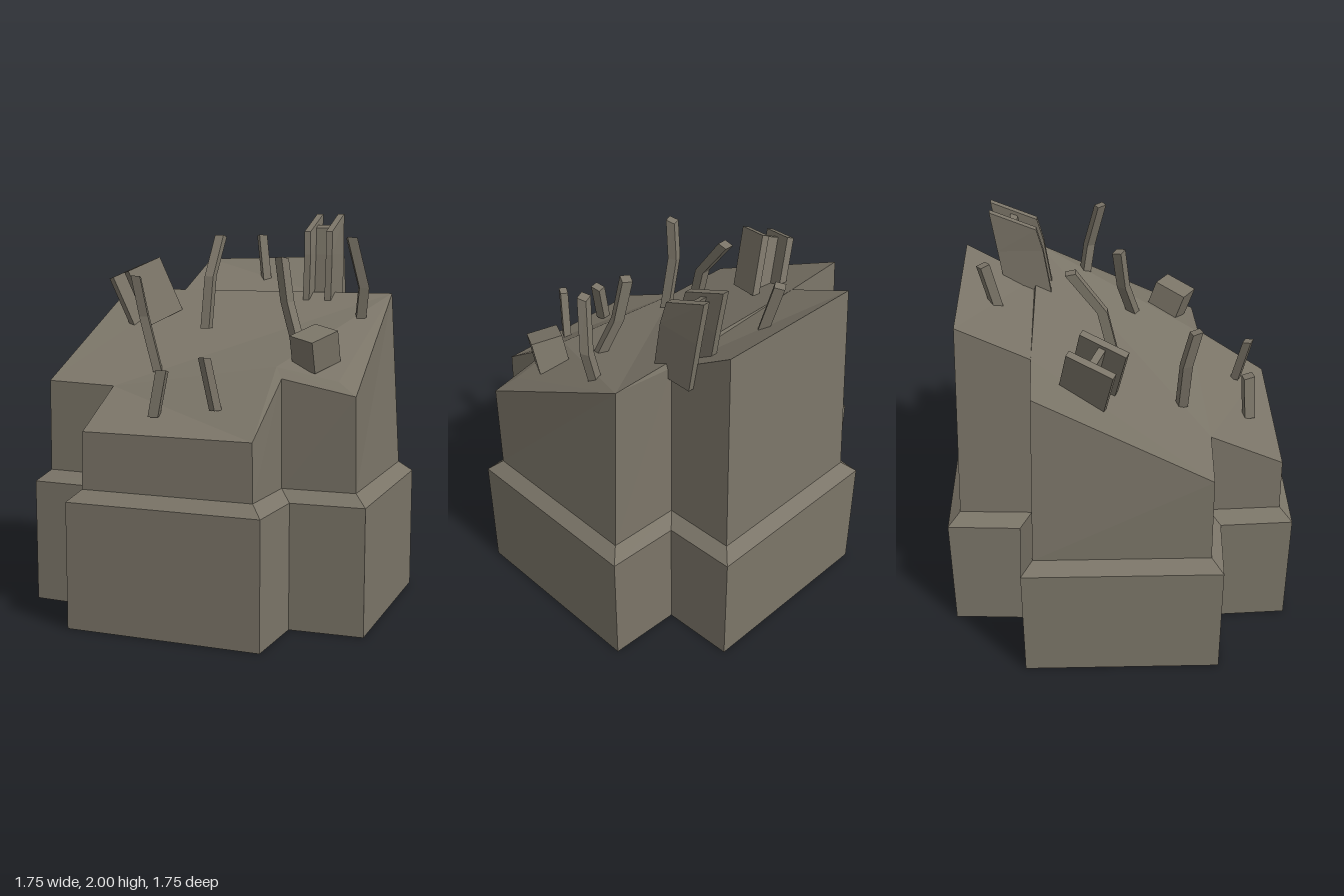
import * as THREE from 'three';

const stone = new THREE.MeshStandardMaterial({ color: 0x7b7568 });
stone.name = 'weathered stone';

// Faceted mesh from a flat list of corner points, three per triangle
function facets(name, corners) {
  const geometry = new THREE.BufferGeometry().setFromPoints(corners);
  geometry.computeVertexNormals();
  const mesh = new THREE.Mesh(geometry, stone);
  mesh.name = name;
  return mesh;
}

// Side walls between successive rings
function walls(rings) {
  const out = [];
  for (let r = 0; r < rings.length - 1; r++) {
    const lo = rings[r], hi = rings[r + 1], n = lo.length;
    for (let i = 0; i < n; i++) {
      const j = (i + 1) % n;
      out.push(lo[i], lo[j], hi[j], lo[i], hi[j], hi[i]);
    }
  }
  return out;
}

// Flat fill of one ring, facing up or down
function cap(ring, up) {
  const flat = ring.map((p) => new THREE.Vector2(p.x, -p.z));
  return THREE.ShapeUtils.triangulateShape(flat, [])
    .flatMap(([a, b, c]) => (up ? [ring[a], ring[b], ring[c]] : [ring[a], ring[c], ring[b]]));
}

const V = (x, y, z) => new THREE.Vector3(x, y, z);

// Plus-shaped ring: arm reach, arm half width, inner corner
function plusRing(y, reach, half, inner) {
  const ring = [];
  for (let k = 0; k < 4; k++) {
    for (const [x, z] of [[-half, reach], [half, reach], [inner, inner]]) {
      ring.push(V(x, y, z).applyAxisAngle(V(0, 1, 0), k * Math.PI / 2));
    }
  }
  return ring;
}

// Bar bent along a path that runs from bottom to top; slope slants the top cut
function bar(name, path, w, d, yaw = 0, slope = 0) {
  const rings = path.map(([x, y, z], i) =>
    [[-1, 1], [1, 1], [1, -1], [-1, -1]].map(([sx, sz]) => {
      const o = V(sx * w / 2, 0, sz * d / 2).applyAxisAngle(V(0, 1, 0), yaw);
      return V(x + o.x, y + (i === path.length - 1 ? slope * o.z : 0), z + o.z);
    }));
  return facets(name, [...cap(rings[0], false), ...walls(rings), ...cap(rings.at(-1), true)]);
}

// Two flanges joined by a web
function girder(name, path, gap, flangeWidth, thick, slope = 0) {
  const group = new THREE.Group();
  group.name = name;
  const shift = (dx) => path.map(([x, y, z]) => [x + dx, y, z]);
  for (const s of [-1, 1]) {
    group.add(bar('flange', shift(s * gap / 2), thick, flangeWidth, 0, slope));
  }
  group.add(bar('web', path.map(([x, y, z], i) =>
    [x, i === path.length - 1 ? y - 0.02 : y, z]), gap, thick, 0, slope));
  return group;
}

export function createModel() {
  const model = new THREE.Group();
  model.name = 'brokenPillar';

  // Broken rim, sloping up towards the back
  const rim = [
    V(-0.43, 0.96, 0.81), V(0.43, 0.96, 0.81), V(0.445, 1.21, 0.445),
    V(0.81, 1.14, 0.44), V(0.765, 1.58, -0.42), V(0.43, 1.55, -0.43),
    V(0.405, 1.765, -0.77), V(-0.405, 1.745, -0.77), V(-0.42, 1.58, -0.42),
    V(-0.765, 1.585, -0.41), V(-0.815, 1.145, 0.43), V(-0.445, 1.135, 0.445),
  ];
  const base = plusRing(0, 0.877, 0.493, 0.51);
  const baseTop = plusRing(0.625, 0.877, 0.493, 0.51);
  const shoulder = plusRing(0.68, 0.815, 0.435, 0.45);
  model.add(facets('plinth', [...cap(base, false), ...walls([base, baseTop])]));
  model.add(facets('shoulder', walls([baseTop, shoulder])));
  model.add(facets('shaft', walls([shoulder, rim])));

  // Sloping fracture with one raised, chipped corner
  const peak = V(0.4, 1.26, 0.39), ridge = V(0.71, 1.2, 0.385);
  const [, armCorner, notch, sideCorner] = rim;
  const top = [...rim.slice(0, 2), peak, ridge, ...rim.slice(3)];
  model.add(facets('fracture', [
    ...cap(top, true),
    armCorner, notch, peak, peak, notch, sideCorner, peak, sideCorner, ridge,
  ]));

  // Bent reinforcing rods
  const rods = [
    [[[-0.26, 1.2, 0.31], [-0.33, 1.48, 0.32], [-0.355, 1.68, 0.36]], 0.045, 0.05, 0.3],
    [[[-0.13, 1.4, -0.02], [-0.13, 1.67, -0.08], [-0.13, 1.88, -0.23]], 0.048, 0.05, 0],
    [[[0, 1.63, -0.6], [-0.045, 1.88, -0.65]], 0.045, 0.05, 0.6],
    [[[0.18, 1.07, 0.63], [0.145, 1.32, 0.68]], 0.04, 0.045, -0.5],
    [[[-0.12, 1.03, 0.67], [-0.08, 1.25, 0.66]], 0.05, 0.055, 0.2],
    [[[0.41, 1.35, 0.09], [0.335, 1.55, 0.035], [0.295, 1.77, 0.01]], 0.05, 0.05, -0.5],
    [[[0.66, 1.43, -0.17], [0.685, 1.62, -0.14], [0.635, 1.87, -0.08]], 0.05, 0.045, 0.4],
  ];
  for (const [path, w, d, yaw] of rods) model.add(bar('rod', path, w, d, yaw, 0.2));

  // Tall bent girder at the back
  model.add(girder('tallGirder',
    [[0.375, 1.5, -0.45], [0.37, 1.78, -0.49], [0.36, 1.95, -0.52]], 0.12, 0.23, 0.035, -0.42));

  // Short leaning girder
  const lean = girder('leaningGirder', [[0, -0.16, 0], [0, 0.15, 0]], 0.14, 0.24, 0.035);
  const up = V(-0.36, 0.92, 0.16).normalize();
  const across = new THREE.Vector3().crossVectors(up, V(-0.35, -0.3, 0.85)).normalize();
  const depth = new THREE.Vector3().crossVectors(across, up);
  lean.quaternion.setFromRotationMatrix(new THREE.Matrix4().makeBasis(across, up, depth));
  lean.position.set(-0.53, 1.57, -0.13);
  model.add(lean);

  // Loose block
  const block = new THREE.Mesh(new THREE.BoxGeometry(0.155, 0.16, 0.175), stone);
  block.name = 'looseBlock';
  block.position.set(0.565, 1.345, 0.3);
  block.rotation.set(0.33, -0.5, 0);
  model.add(block);

  return model;
}
